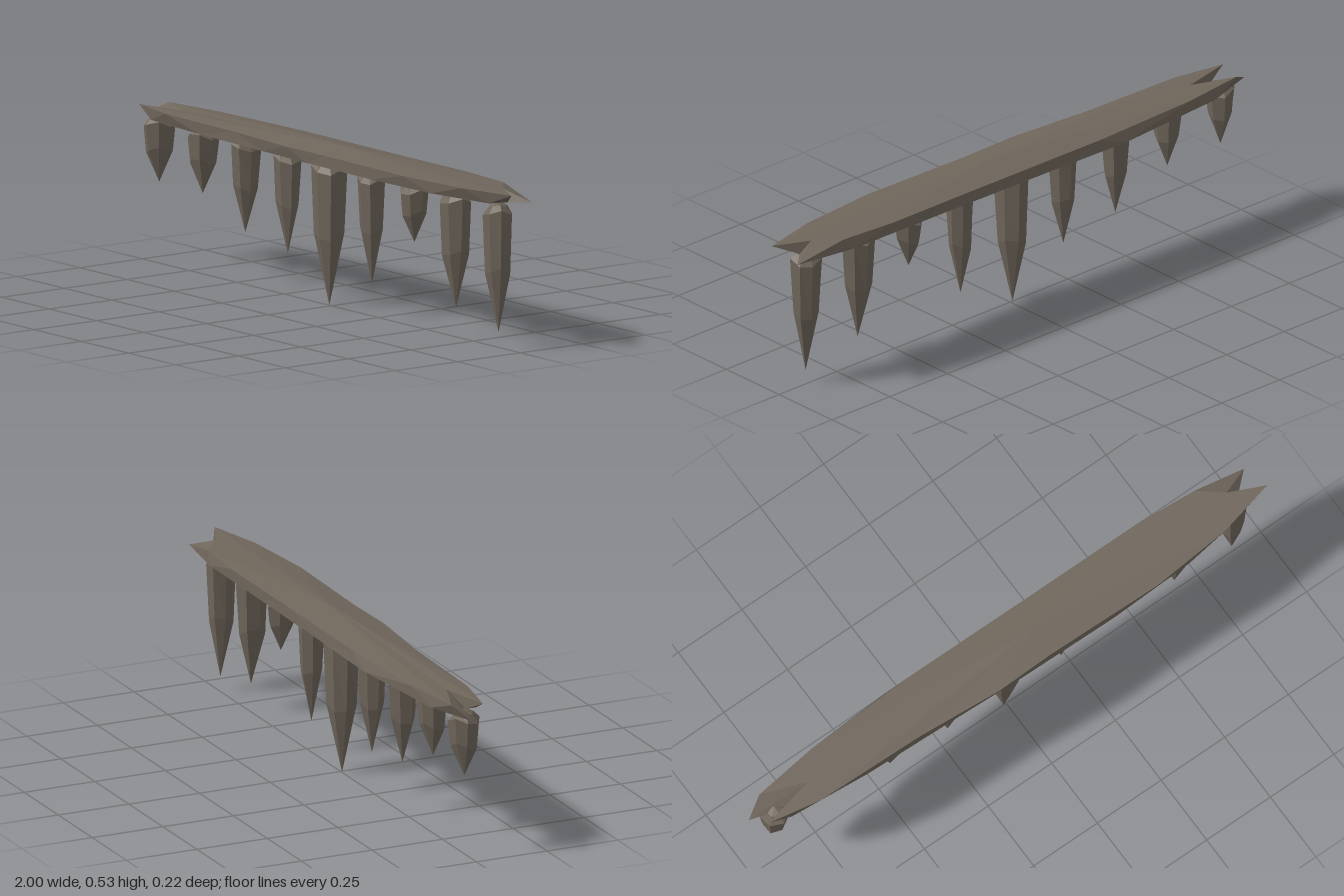
import * as THREE from 'three';

const stone = new THREE.MeshStandardMaterial({ color: 0x6f665b, flatShading: true });
stone.name = 'brownStone';

// Upper and lower rim corners (x, z), staggered so the edge is faceted
const TOP = [
  [1, 0.035], [0.8, 0.083], [0.52, 0.108], [0.1, 0.1], [-0.1, 0.105], [-0.4, 0.083],
  [-0.78, 0.075], [-0.96, 0.042], [-0.78, 0], [-0.93, -0.055], [-0.7, -0.085],
  [-0.3, -0.102], [0.2, -0.1], [0.6, -0.1], [0.8, -0.085], [0.88, -0.02],
];
const BOTTOM = [
  [0.9, 0.05], [0.65, 0.095], [0.35, 0.105], [0, 0.1], [-0.25, 0.09], [-0.6, 0.078],
  [-0.88, 0.055], [-0.88, 0.02], [-1, -0.015], [-0.82, -0.075], [-0.4, -0.112],
  [-0.1, -0.106], [0.4, -0.1], [0.76, -0.098], [0.98, -0.065], [0.92, -0.01],
];

// Long slab: two shallow fans joined by a zigzag rim
function createSlab() {
  const n = TOP.length;
  const positions = [];
  TOP.forEach(([x, z]) => positions.push(x, 0.514, z));
  BOTTOM.forEach(([x, z]) => positions.push(x, 0.476, z));
  positions.push(0.1, 0.533, 0.005, 0.1, 0.462, 0);
  const index = [];
  for (let i = 0; i < n; i++) {
    const k = (i + 1) % n;
    index.push(2 * n, k, i); // top
    index.push(2 * n + 1, n + i, n + k); // underside
    index.push(i, k, n + i, n + i, k, n + k); // rim
  }
  const geometry = new THREE.BufferGeometry();
  geometry.setAttribute('position', new THREE.Float32BufferAttribute(positions, 3));
  geometry.setIndex(index);
  geometry.computeVertexNormals();
  const slab = new THREE.Mesh(geometry, stone);
  slab.name = 'slab';
  return slab;
}

// Hanging spike: a low-sided lathe with slightly uneven rings
function createSpike([x, tip, top, radius], seed) {
  const sides = 7;
  const height = top - tip;
  const profile = [
    [0, tip],
    [radius * 0.82, tip + height * 0.47],
    [radius, top - 0.035],
    [radius * 0.6, top - 0.012],
    [0, top],
  ].map(([r, y]) => new THREE.Vector2(r, y));
  const geometry = new THREE.LatheGeometry(profile, sides, seed * 0.7);
  const p = geometry.attributes.position;
  for (let i = 0; i < p.count; i++) {
    const ring = i % profile.length;
    const side = Math.floor(i / profile.length) % sides;
    if (ring === 0 || ring === profile.length - 1) continue;
    const s = 1 + 0.08 * Math.sin(side * 2.3 + ring * 0.8 + seed * 1.7);
    const dy = 0.012 * Math.sin(side * 1.9 + seed * 2.1) * (ring === 3 ? 0.3 : 1);
    p.setXYZ(i, p.getX(i) * s, p.getY(i) + dy, p.getZ(i) * s);
  }
  geometry.computeVertexNormals();
  const spike = new THREE.Mesh(geometry, stone);
  spike.name = 'spike' + (seed + 1);
  spike.position.x = x;
  return spike;
}

// x, tip height, top height, radius
const SPIKES = [
  [-0.91, 0.265, 0.49, 0.05], [-0.68, 0.262, 0.484, 0.05], [-0.455, 0.17, 0.482, 0.049],
  [-0.23, 0.135, 0.477, 0.046], [-0.01, 0, 0.477, 0.057], [0.215, 0.105, 0.477, 0.046],
  [0.44, 0.275, 0.477, 0.049], [0.66, 0.095, 0.48, 0.053], [0.885, 0.05, 0.476, 0.049],
];

export function createModel() {
  const model = new THREE.Group();
  model.name = 'spikedSlab';
  model.add(createSlab());
  SPIKES.forEach((data, i) => model.add(createSpike(data, i)));
  return model;
}
